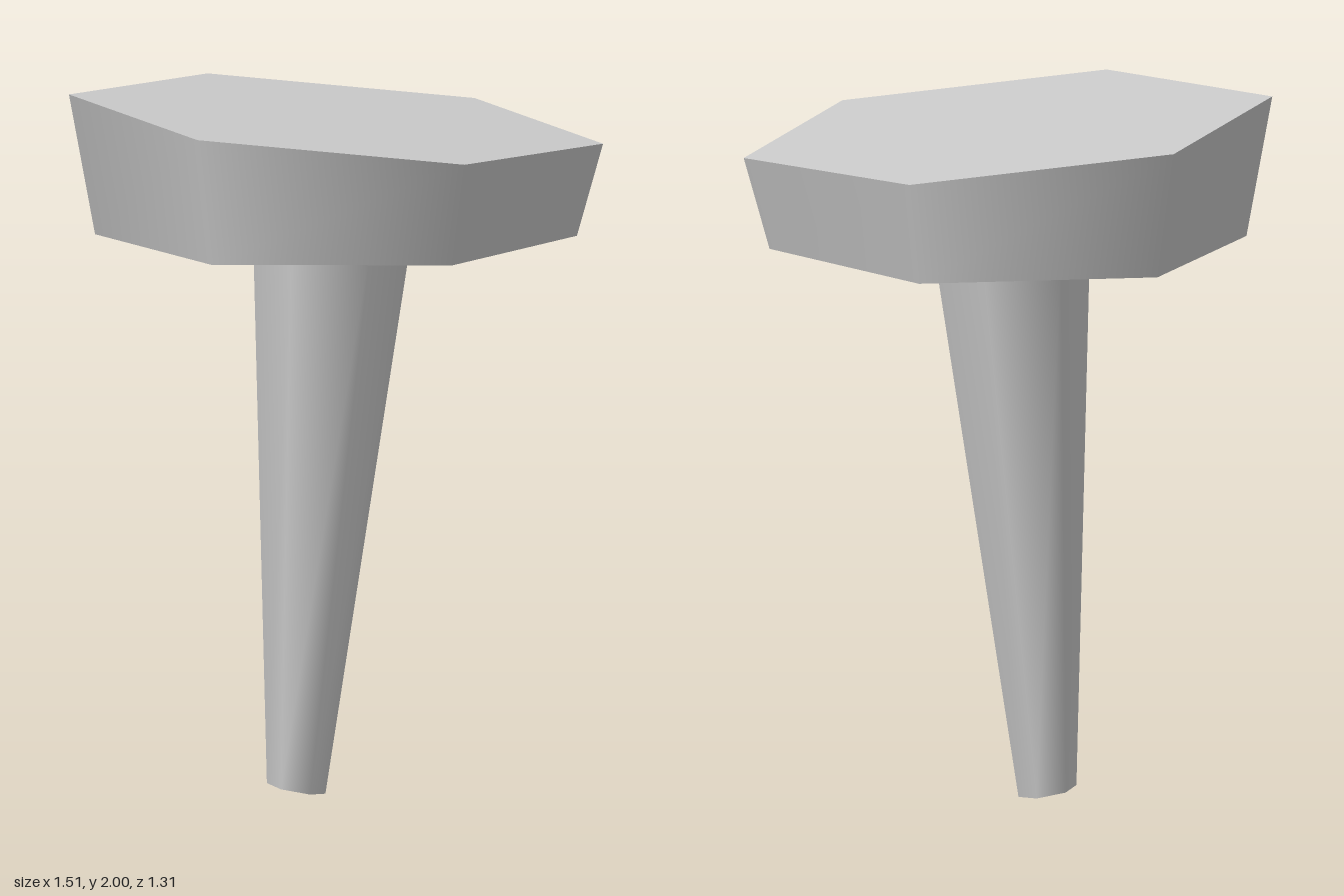
import * as THREE from 'three';

const material = new THREE.MeshStandardMaterial({ color: 0xcccccc });
material.name = 'plain grey';

// Smooth-sided six-cornered frustum; each end has a centre, a radius and a slope along x.
function hexFrustum(name, top, bottom) {
  const geometry = new THREE.CylinderGeometry(1, 1, 2, 6, 1, false, Math.PI / 2);
  const position = geometry.attributes.position;
  const normal = geometry.attributes.normal;
  const flare = (top.r - bottom.r) / (top.y - bottom.y);
  const lean = (top.x - bottom.x) / (top.y - bottom.y);
  const n = new THREE.Vector3();
  for (let i = 0; i < position.count; i++) {
    const end = position.getY(i) > 0 ? top : bottom;
    const x = position.getX(i) * end.r;
    position.setXYZ(i, end.x + x, end.y + end.slope * x, position.getZ(i) * end.r);
    n.fromBufferAttribute(normal, i);
    if (Math.abs(n.y) > 0.9) n.set(-end.slope * n.y, n.y, 0); // end faces
    else n.y = -flare - lean * n.x; // sides
    n.normalize();
    normal.setXYZ(i, n.x, n.y, n.z);
  }
  const mesh = new THREE.Mesh(geometry, material);
  mesh.name = name;
  return mesh;
}

export function createModel() {
  const model = new THREE.Group();
  model.name = 'hexagonal peg';

  // Flared head with a slanted top
  model.add(hexFrustum('head',
    { x: 0, y: 1.932, r: 0.757, slope: -0.09 },
    { x: 0, y: 1.6, r: 0.683, slope: 0 }));

  // Leaning, tapered shaft with a slanted tip
  model.add(hexFrustum('shaft',
    { x: -0.01, y: 1.6, r: 0.225, slope: 0 },
    { x: -0.113, y: 0.015, r: 0.083, slope: -0.18 }));

  return model;
}
